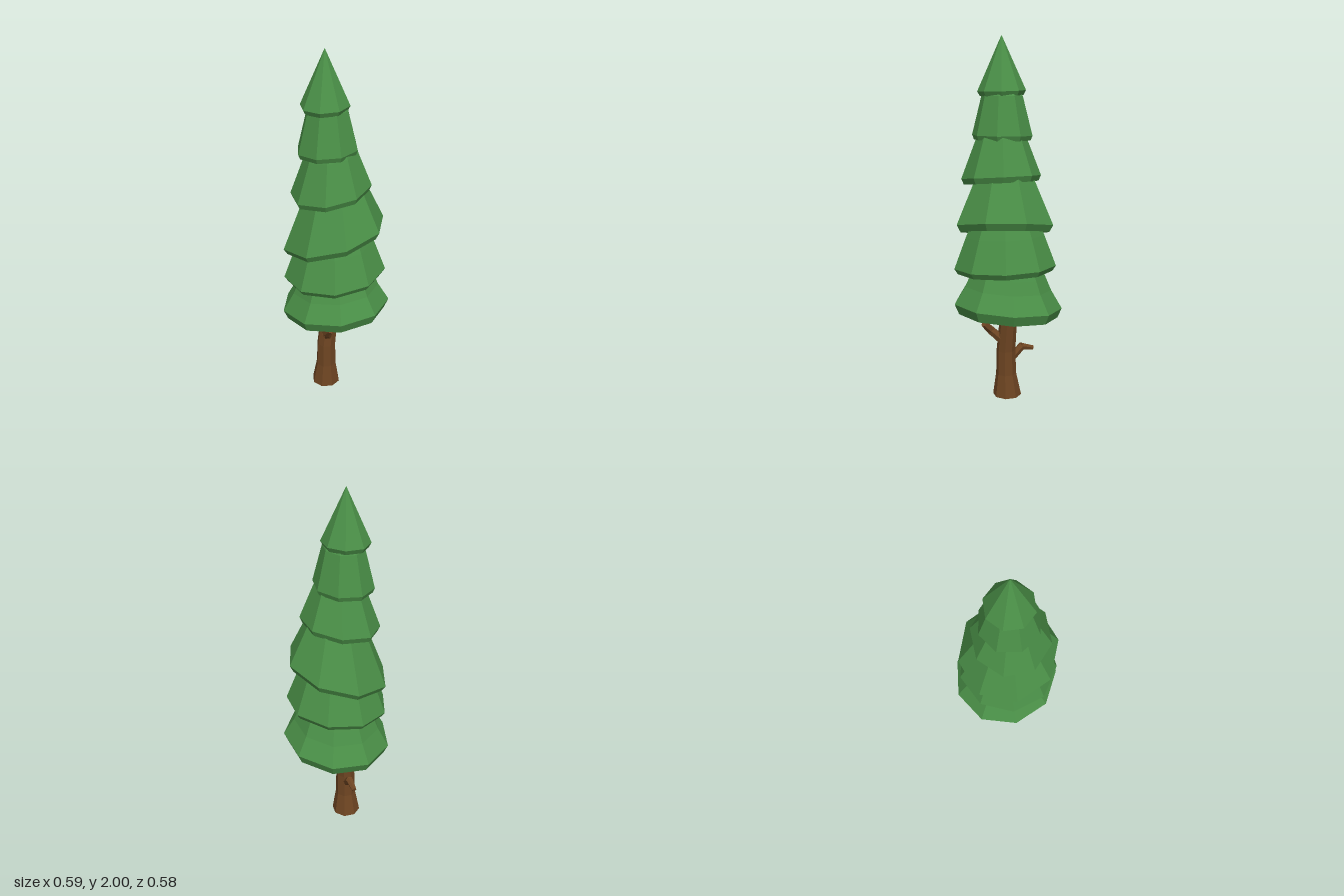
import * as THREE from 'three';

const needles = new THREE.MeshStandardMaterial({ color: 0x4a8f47 });
needles.name = 'needleGreen';
const bark = new THREE.MeshStandardMaterial({ color: 0x6e4522 });
bark.name = 'barkBrown';

// Flat-shaded skin over rings of points, listed from top to bottom
function loft(rings) {
  const points = [];
  for (let r = 0; r < rings.length - 1; r++) {
    const up = rings[r], low = rings[r + 1], n = up.length;
    for (let i = 0; i < n; i++) {
      const j = (i + 1) % n;
      points.push(up[i], up[j], low[i], up[j], low[j], low[i]);
    }
  }
  const g = new THREE.BufferGeometry().setFromPoints(points);
  g.computeVertexNormals();
  return g;
}

// Regular ring, starting at the back and running towards +x; it can slope along x and z
function ring(x, y, z, radius, sides, turn = 0, slopeX = 0, slopeZ = 0) {
  return Array.from({ length: sides }, (_, i) => {
    const a = turn + (i / sides) * Math.PI * 2;
    const dx = radius * Math.sin(a), dz = -radius * Math.cos(a);
    return new THREE.Vector3(x + dx, y + slopeX * dx + slopeZ * dz, z + dz);
  });
}

function add(parent, name, geometry, material) {
  const mesh = new THREE.Mesh(geometry, material);
  mesh.name = name;
  parent.add(mesh);
  return mesh;
}

// Skirt of foliage; each profile step is [scale of the rim radius, height above the rim]
function addTier(tree, name, { x, y, z, radius, sides = 8, turn, slopeX = 0, slopeZ = 0, profile }) {
  const rings = profile.map(([scale, rise]) =>
    ring(x, y + rise, z, radius * scale, sides, turn, slopeX, slopeZ));
  add(tree, name, loft(rings), needles);
}

// Tapered six-sided limb through points [x, y, z, radius]
function addBranch(tree, name, points) {
  const branch = new THREE.Group();
  branch.name = name;
  for (let i = 0; i < points.length - 1; i++) {
    const a = new THREE.Vector3(...points[i]), b = new THREE.Vector3(...points[i + 1]);
    const dir = b.clone().sub(a), length = dir.length() + 0.012;
    const g = new THREE.CylinderGeometry(points[i + 1][3], points[i][3], length, 6).toNonIndexed();
    g.computeVertexNormals();
    const limb = add(branch, name + 'Segment', g, bark);
    limb.position.copy(a).add(b).multiplyScalar(0.5);
    limb.quaternion.setFromUnitVectors(new THREE.Vector3(0, 1, 0), dir.normalize());
  }
  tree.add(branch);
}

export function createModel() {
  const tree = new THREE.Group();
  tree.name = 'pineTree';

  // Trunk with a flared foot and a slight lean
  add(tree, 'trunk', loft([
    ring(-0.02, 0.66, -0.02, 0.045, 8),
    ring(-0.025, 0.45, -0.02, 0.049, 8),
    ring(-0.045, 0.27, -0.02, 0.053, 8),
    ring(-0.046, 0.13, -0.022, 0.057, 8),
    ring(-0.045, 0, -0.028, 0.08, 8),
    ring(-0.045, 0, -0.028, 0, 8),
  ]), bark);

  // Two broken-off branches
  addBranch(tree, 'frontBranch', [
    [-0.055, 0.345, 0.015, 0.027], [-0.085, 0.39, 0.055, 0.024], [-0.085, 0.435, 0.1, 0.018]]);
  addBranch(tree, 'backBranch', [
    [-0.03, 0.225, -0.055, 0.024], [-0.008, 0.28, -0.105, 0.021], [0.008, 0.262, -0.165, 0.014]]);

  // Foliage from the tip down
  addTier(tree, 'topCone', {
    x: -0.055, y: 1.715, z: 0, radius: 0.128, turn: -0.1, slopeX: 0.04,
    profile: [[0, 0.285], [1, 0], [0.9, -0.025], [0.5, 0.01]] });
  addTier(tree, 'secondTier', {
    x: -0.045, y: 1.483, z: 0.005, radius: 0.162, turn: 0.05, slopeX: 0.04, slopeZ: 0.05,
    profile: [[0.4, 0.275], [0.68, 0.205], [1, 0], [0.94, -0.025], [0.5, 0.02]] });
  addTier(tree, 'thirdTier', {
    x: -0.035, y: 1.262, z: 0.02, radius: 0.213, turn: -0.17, slopeX: 0.15, slopeZ: 0.06,
    profile: [[0.5, 0.265], [0.65, 0.195], [1, 0], [0.94, -0.03], [0.5, 0.02]] });
  addTier(tree, 'fourthTier', {
    x: -0.015, y: 0.997, z: 0.015, radius: 0.275, turn: 0.25, slopeX: 0.21, slopeZ: 0.17,
    profile: [[0.5, 0.31], [0.63, 0.235], [1, 0], [0.93, -0.035], [0.55, 0.04]] });
  addTier(tree, 'fifthTier', {
    x: -0.01, y: 0.775, z: 0.015, radius: 0.278, sides: 9, turn: 0.14, slopeX: 0.09, slopeZ: 0.03,
    profile: [[0.58, 0.295], [0.77, 0.17], [1, 0], [0.93, -0.03], [0.55, 0.03]] });
  addTier(tree, 'bottomTier', {
    x: 0, y: 0.555, z: 0.005, radius: 0.298, sides: 9, turn: 0.04, slopeX: 0.03, slopeZ: 0.11,
    profile: [[0.58, 0.25], [0.7, 0.17], [0.8, 0.1], [1, 0], [0.92, -0.055], [0.12, 0.07]] });
  return tree;
}
